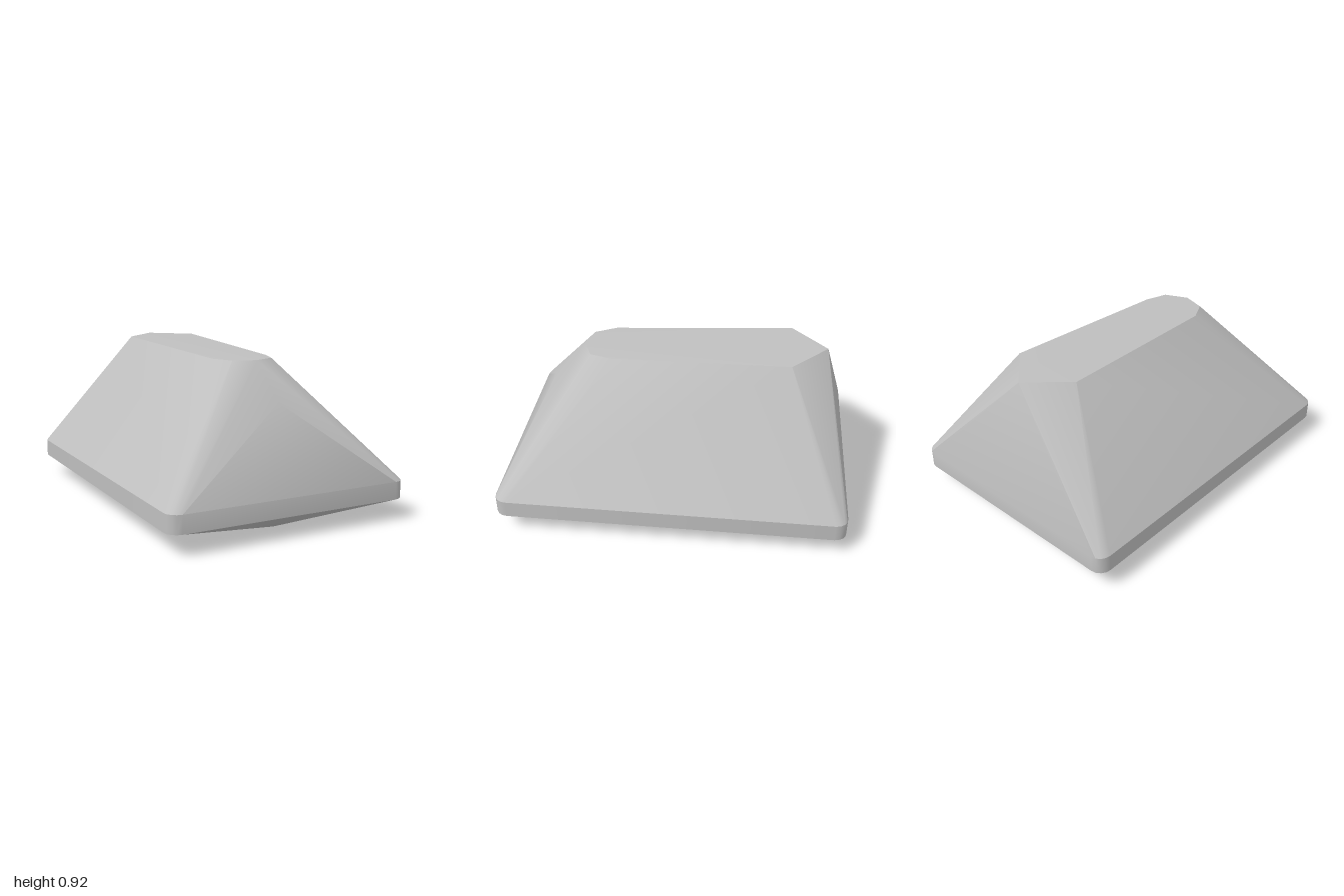
import * as THREE from 'three';
import { ConvexGeometry } from 'three/addons/geometries/ConvexGeometry.js';
import { toCreasedNormals } from 'three/addons/utils/BufferGeometryUtils.js';

const WIDTH = 1.44, DEPTH = 2, CORNER = 0.07, STEPS = 4;

// Rounded rectangle outline at height y
function rim(y) {
  const points = [];
  for (let corner = 0; corner < 4; corner++) {
    const sx = corner === 0 || corner === 3 ? 1 : -1;
    const sz = corner < 2 ? 1 : -1;
    for (let i = 0; i <= STEPS; i++) {
      const a = (corner + i / STEPS) * Math.PI / 2;
      points.push(new THREE.Vector3(
        sx * (WIDTH / 2 - CORNER) + CORNER * Math.cos(a), y,
        sz * (DEPTH / 2 - CORNER) + CORNER * Math.sin(a)));
    }
  }
  return points;
}

const toVectors = (list) => list.map((p) => new THREE.Vector3(...p));

export function createModel() {
  const group = new THREE.Group();
  group.name = 'facetedBlock';

  const grey = new THREE.MeshStandardMaterial({ color: 0xbfbfbf });
  grey.name = 'grey';

  // Top facet: pointed at the back, rounded at the front
  const top = toVectors([
    [0, 0.92, -0.845], [0.22, 0.92, -0.64], [0.18, 0.882, 0.38], [0.14, 0.88, 0.51],
    [0.01, 0.88, 0.57], [-0.12, 0.88, 0.53], [-0.18, 0.882, 0.41], [-0.22, 0.92, -0.64],
  ]);
  // Bulge on the front slope
  const frontBulge = toVectors([[0.04, 0.67, 0.75]]);
  // Shallow underside, flat at the front and rising to the back
  const underside = toVectors([
    [0, 0, 0.78], [0.385, 0, 0.43], [-0.385, 0, 0.43], [0, 0, 0.02], [0, 0.055, -0.74],
  ]);

  // The body is the hull of its cross-sections, smooth except at the hard rims
  const hull = new ConvexGeometry([...top, ...frontBulge, ...rim(0.22), ...rim(0.12), ...underside]);
  const body = new THREE.Mesh(toCreasedNormals(hull, THREE.MathUtils.degToRad(31)), grey);
  body.name = 'body';
  group.add(body);
  return group;
}
